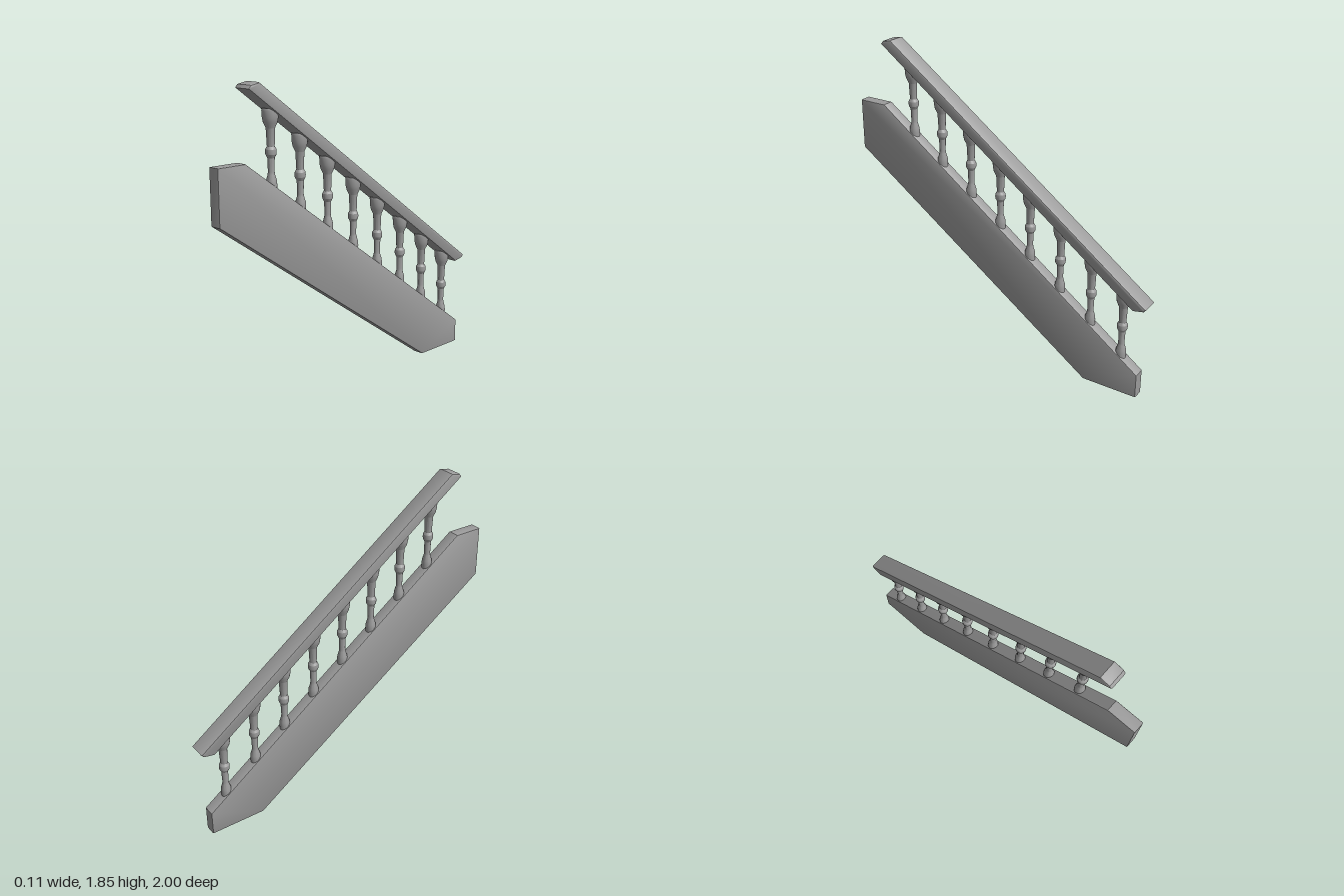
import * as THREE from 'three';
import { toCreasedNormals } from 'three/addons/utils/BufferGeometryUtils.js';

const material = new THREE.MeshStandardMaterial({ color: 0x9b9b9b });

// Side outline given as [z, y], extruded across x with softened edges
function slab(name, outline, width, bevel, segments) {
  const shape = new THREE.Shape(outline.map(([z, y]) => new THREE.Vector2(z, y)));
  const geo = new THREE.ExtrudeGeometry(shape, {
    depth: width - 2 * bevel,
    bevelThickness: bevel,
    bevelSize: bevel,
    bevelOffset: -bevel,
    bevelSegments: segments,
  });
  geo.translate(0, 0, bevel - width / 2);
  geo.rotateY(-Math.PI / 2);
  const mesh = new THREE.Mesh(toCreasedNormals(geo, 0.6), material);
  mesh.name = name;
  return mesh;
}

// Turned post, y measured from the stringer's top edge
function balusterGeometry() {
  const profile = [
    [0, -0.04], [0.029, -0.04], [0.031, 0.01], [0.029, 0.035], [0.02, 0.065], [0.018, 0.08],
    [0.02, 0.155], [0.03, 0.174], [0.031, 0.188], [0.03, 0.202], [0.021, 0.217],
    [0.025, 0.315], [0.039, 0.345], [0.044, 0.37], [0.046, 0.41], [0.043, 0.42], [0, 0.42],
  ].map(([r, y]) => new THREE.Vector2(r, y));
  return toCreasedNormals(new THREE.LatheGeometry(profile, 20), 0.4);
}

export function createModel() {
  const model = new THREE.Group();
  model.name = 'stairRailing';

  // Sloping side board with level top and foot
  model.add(slab('stringer', [
    [1, 1.435], [0.82, 1.435], [-0.963, 0.15], [-0.963, 0], [-0.62, 0], [1, 1.125],
  ], 0.073, 0.005, 2));

  // Handrail with blunted ends
  model.add(slab('handrail', [
    [0.805, 1.82], [0.79, 1.838], [0.73, 1.85], [-1, 0.603], [-0.985, 0.585], [-0.92, 0.572],
  ], 0.115, 0.01, 2));

  // Row of balusters following the slope
  const geo = balusterGeometry();
  const balusters = new THREE.Group();
  balusters.name = 'balusters';
  for (let i = 0; i < 8; i++) {
    const z = 0.617 - i * 0.208;
    const post = new THREE.Mesh(geo, material);
    post.name = 'baluster';
    post.position.set(0, 0.84 + z * 0.722, z);
    balusters.add(post);
  }
  model.add(balusters);
  return model;
}
